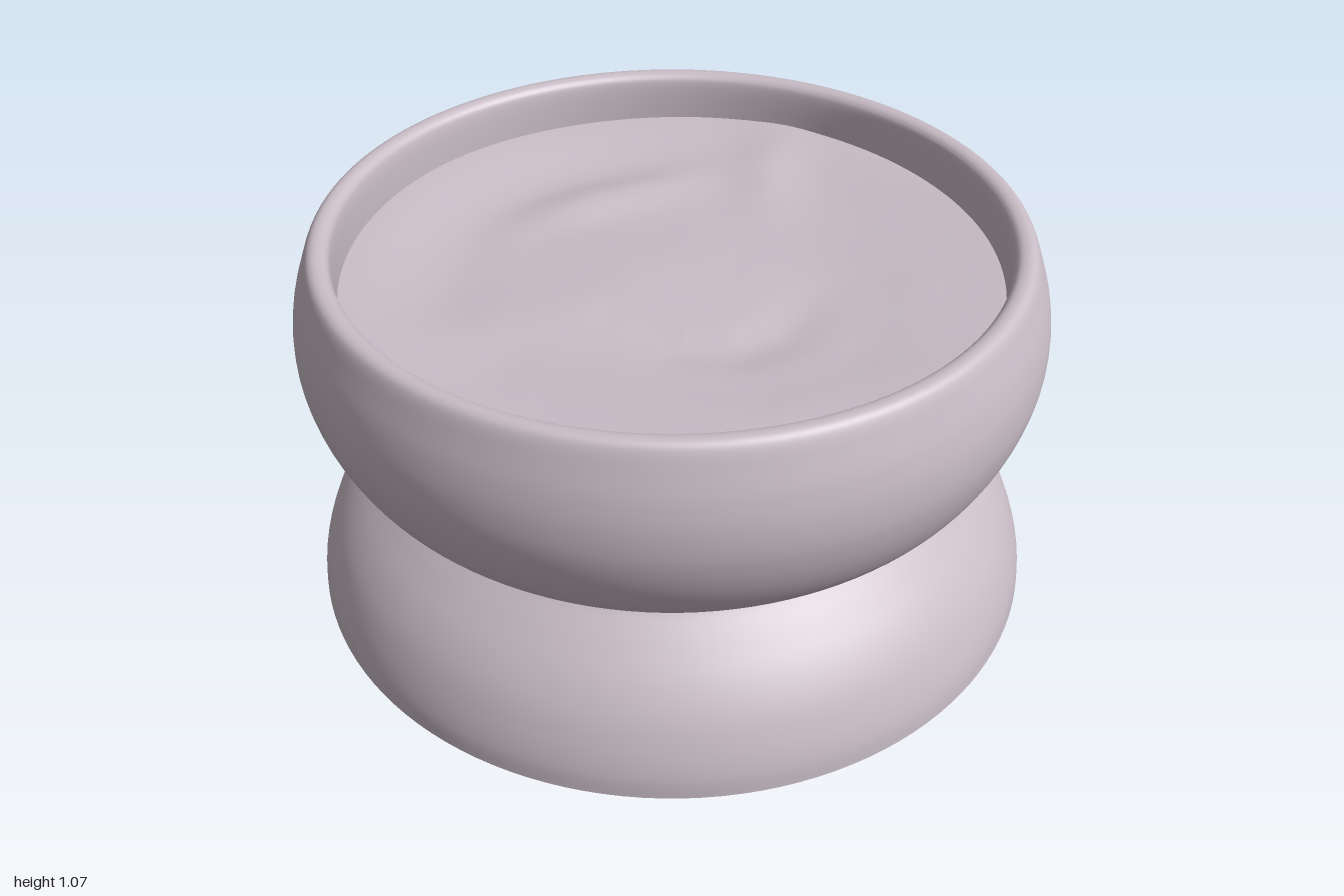
import * as THREE from 'three';
import { mergeVertices } from 'three/addons/utils/BufferGeometryUtils.js';

const SEGMENTS = 128;
const { clamp, smoothstep } = THREE.MathUtils;

// Smooth turned part: profile points are [radius, height]
function turned(name, profile, material, steps) {
  const curve = new THREE.SplineCurve(profile.map(([r, y]) => new THREE.Vector2(r, y)));
  const points = curve.getPoints(steps);
  points.forEach((p) => { p.x = Math.max(p.x, 0); });
  const mesh = new THREE.Mesh(new THREE.LatheGeometry(points, SEGMENTS), material);
  mesh.name = name;
  return mesh;
}

// Folds on the filling: path of [x, z] points, height and width.
// Each fades towards the ends of its path.
const folds = [
  { path: [[-0.36, -0.34], [-0.15, -0.44], [0.22, -0.56]], height: 0.022, width: 0.09 },
  { path: [[-0.3, -0.26], [-0.1, -0.08], [0.15, 0.02]], height: 0.01, width: 0.15 },
  { path: [[0.34, -0.34], [0.36, -0.52], [0.46, -0.7]], height: 0.016, width: 0.09 },
  { path: [[-0.16, 0.18], [-0.04, 0.31], [0.1, 0.35], [0.22, 0.31], [0.34, 0.16]], height: -0.018, width: 0.08 },
  { path: [[-0.38, 0.42], [-0.1, 0.58], [0.12, 0.63], [0.38, 0.54]], height: 0.012, width: 0.1 },
  { path: [[0.5, 0.45], [0.62, 0.1], [0.56, -0.2]], height: 0.012, width: 0.12 },
  { path: [[-0.7, 0.22], [-0.45, 0.1], [-0.2, 0.15]], height: 0.01, width: 0.14 },
];

function foldHeight(x, z, { path, height, width }) {
  let best = Infinity, along = 0;
  const spans = path.length - 1;
  for (let i = 0; i < spans; i++) {
    const [ax, az] = path[i];
    const dx = path[i + 1][0] - ax, dz = path[i + 1][1] - az;
    const t = clamp(((x - ax) * dx + (z - az) * dz) / (dx * dx + dz * dz), 0, 1);
    const d = Math.hypot(x - ax - t * dx, z - az - t * dz);
    if (d < best) { best = d; along = (i + t) / spans; }
  }
  return height * Math.sin(Math.PI * (0.1 + 0.8 * along)) * Math.exp(-((best / width) ** 2));
}

// Slightly dished surface, climbing most at the back
function fillingHeight(x, z) {
  const rim = smoothstep(Math.hypot(x, z), 0.55, 0.9);
  let y = 0.9 + rim * (0.032 - 0.012 * z) + 0.004 * Math.sin(5 * x + 2) * Math.cos(4 * z);
  for (const fold of folds) y += foldHeight(x, z, fold);
  return y;
}

function makeFilling(material) {
  const rings = [];
  for (let i = 0; i <= 56; i++) rings.push(new THREE.Vector2(0.875 * (1 - i / 56), 0));
  let geometry = new THREE.LatheGeometry(rings, SEGMENTS);
  geometry.deleteAttribute('uv');
  geometry.deleteAttribute('normal');
  const p = geometry.attributes.position;
  for (let i = 0; i < p.count; i++) p.setY(i, fillingHeight(p.getX(i), p.getZ(i)));
  geometry = mergeVertices(geometry, 1e-5);
  geometry.computeVertexNormals();
  const mesh = new THREE.Mesh(geometry, material);
  mesh.name = 'filling';
  return mesh;
}

export function createModel() {
  const group = new THREE.Group();
  group.name = 'pedestalBowl';
  const clay = new THREE.MeshStandardMaterial({ color: 0xc8bcc5 });
  clay.name = 'pale mauve clay';

  // Dished recess under the foot
  group.add(turned('footRecess', [
    [0, 0.14], [0.35, 0.137], [0.55, 0.128], [0.67, 0.112], [0.78, 0.078], [0.86, 0.035], [0.9, 0.002],
  ], clay, 40));

  // Thin chamfer around the bottom edge
  group.add(turned('footEdge', [
    [0.9, 0.002], [0.93, 0.003], [0.975, 0.015], [1, 0.032],
  ], clay, 12));

  // Domed foot
  group.add(turned('foot', [
    [1, 0.032], [0.994, 0.09], [0.973, 0.16], [0.938, 0.235],
    [0.888, 0.305], [0.825, 0.37], [0.77, 0.42], [0.756, 0.436],
  ], clay, 48));

  // Short upright neck
  group.add(turned('neck', [[0.756, 0.436], [0.758, 0.464]], clay, 2));

  // Rounded bowl with rolled rim and inner wall
  group.add(turned('bowl', [
    [0.74, 0.457], [0.775, 0.466], [0.84, 0.505], [0.905, 0.575], [0.955, 0.67],
    [0.982, 0.77], [0.985, 0.86], [0.972, 0.94], [0.95, 1.01], [0.933, 1.055],
    [0.918, 1.072], [0.898, 1.075], [0.88, 1.067], [0.87, 1.045], [0.866, 0.98], [0.866, 0.86],
  ], clay, 100));

  group.add(makeFilling(clay));
  return group;
}
